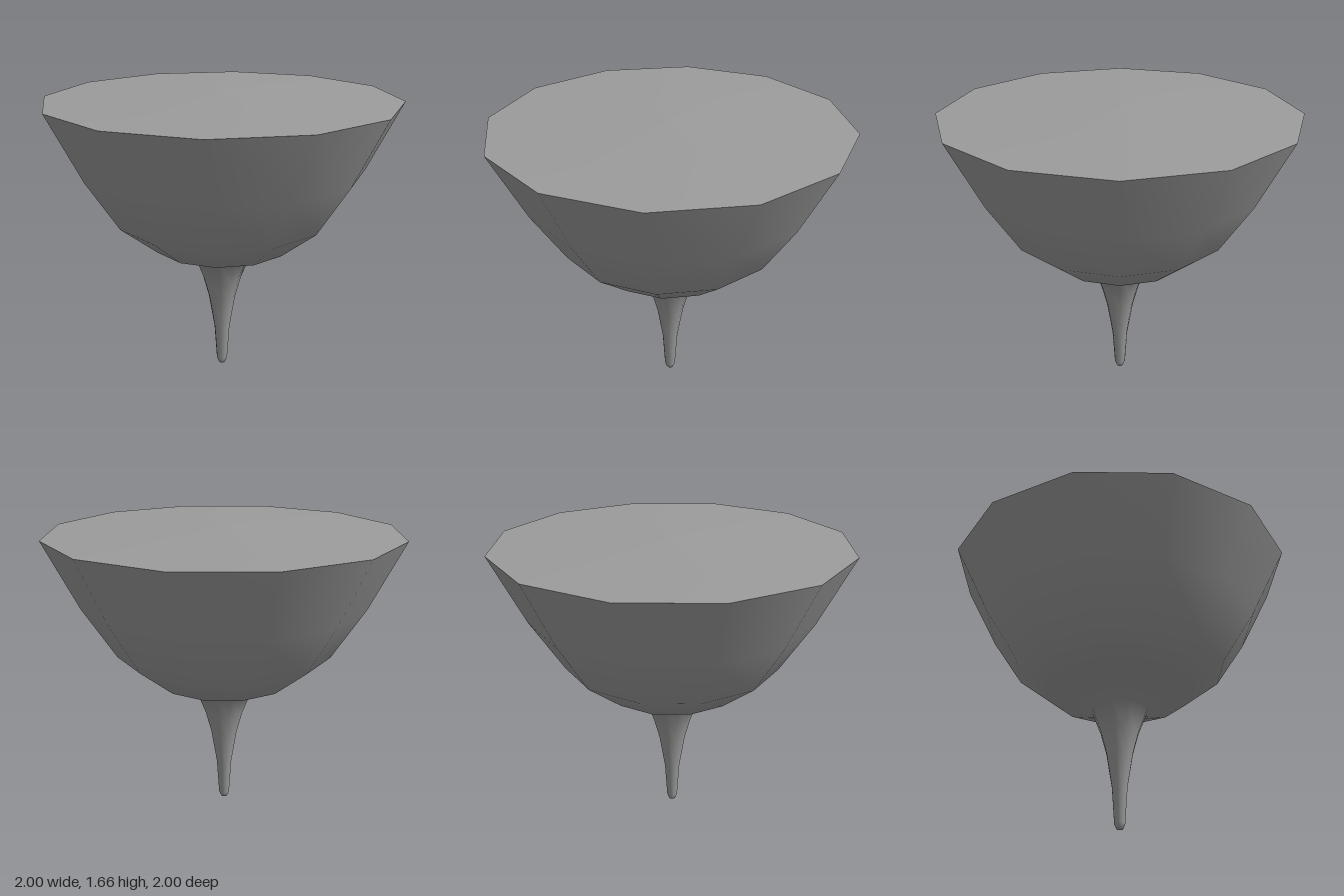
import * as THREE from 'three';

const SIDES = 12;

export function createModel() {
  const group = new THREE.Group();
  const material = new THREE.MeshStandardMaterial({ color: 0x9c9c9c });

  // Revolves a profile, listed from the bottom up, around the y axis
  const addLathe = (name, profile) => {
    const points = profile.map(([r, y]) => new THREE.Vector2(r, y));
    const mesh = new THREE.Mesh(new THREE.LatheGeometry(points, SIDES), material);
    mesh.name = name;
    group.add(mesh);
  };

  // Blunt tip and flaring stem running smoothly into the bowl
  addLathe('stemAndBowl', [
    [0, 0], [0.018, 0], [0.031, 0.03], [0.045, 0.24], [0.078, 0.44], [0.112, 0.565],
    [0.165, 0.7], [0.4, 0.78], [0.617, 0.95], [0.805, 1.24], [1, 1.625],
  ]);

  // Shallow cone closing the bowl, with a sharp edge at the rim
  addLathe('lid', [[1, 1.625], [0, 1.662]]);

  return group;
}
